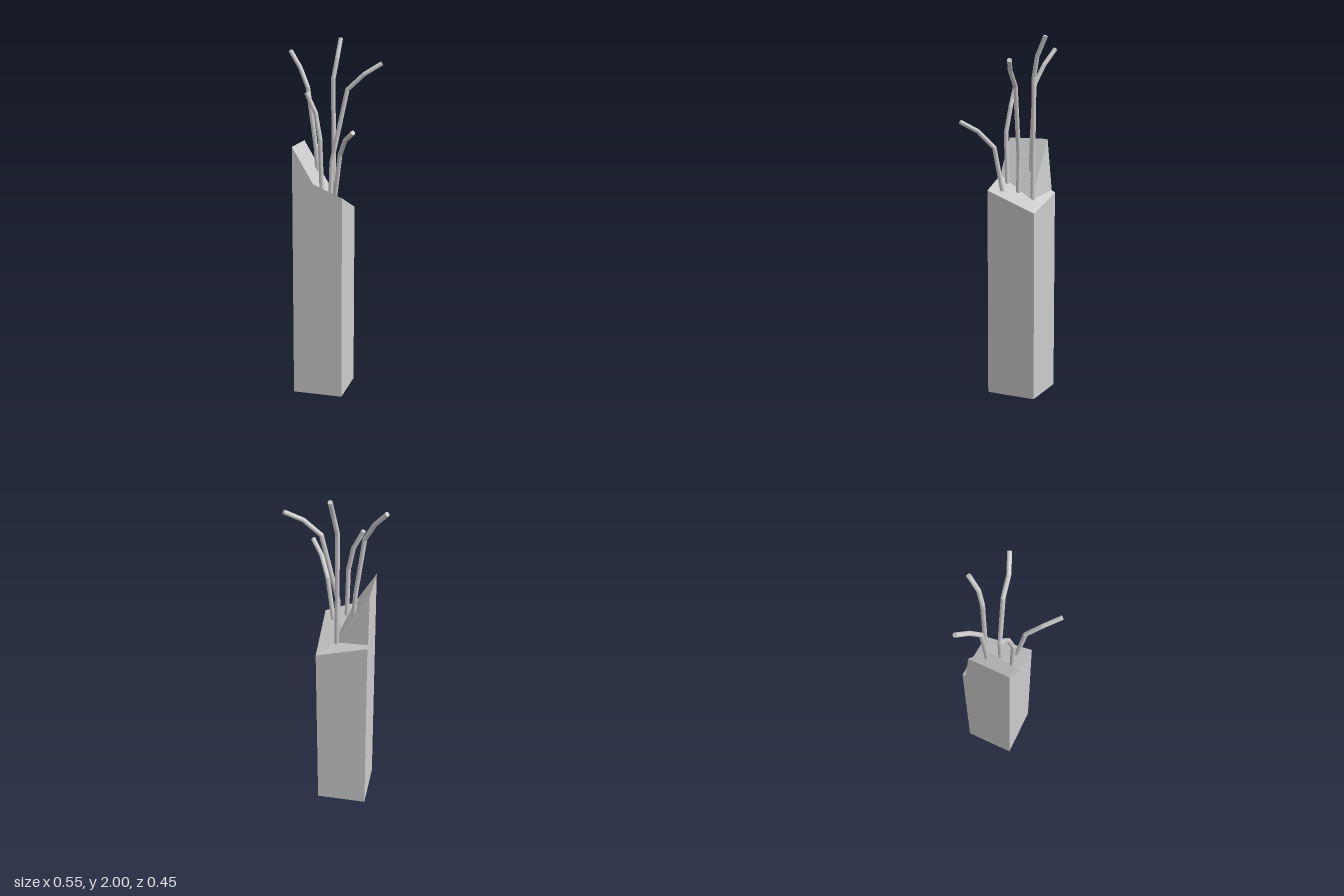
import * as THREE from 'three';

const material = new THREE.MeshStandardMaterial({ color: 0xcccccc });
const flat = new THREE.MeshStandardMaterial({ color: 0xcccccc, flatShading: true });

// Square pillar whose top is cut by slanted planes, leaving a raised wedge on one side
function createPillar() {
  const x0 = -0.183, x1 = 0.1, z0 = -0.19, z1 = 0.093;
  const c = {
    bottomFL: [x0, 0, z1], bottomFR: [x1, 0, z1], bottomBR: [x1, 0, z0], bottomBL: [x0, 0, z0],
    topFR: [x1, 1.16, z1], topBR: [x1, 1.05, z0], topBL: [x0, 1.13, z0],
    peakF: [x0, 1.43, z1], peakB: [x0, 1.43, -0.143],
    creaseF: [-0.063, 1.228, z1], creaseB: [0.01, 1.11, -0.133], wedgeFoot: [x0, 1.142, -0.17],
  };
  const faces = [
    [c.bottomBL, c.bottomBR, c.bottomFR, c.bottomFL],
    [c.bottomFL, c.bottomFR, c.topFR, c.creaseF, c.peakF],
    [c.bottomFR, c.bottomBR, c.topBR, c.topFR],
    [c.bottomBR, c.bottomBL, c.topBL, c.topBR],
    [c.bottomFL, c.peakF, c.peakB, c.wedgeFoot, c.topBL, c.bottomBL],
    [c.topBR, c.topBL, c.wedgeFoot, c.creaseB, c.creaseF, c.topFR],
    [c.peakF, c.creaseF, c.creaseB, c.peakB],
    [c.peakB, c.creaseB, c.wedgeFoot],
  ];
  // Each face is a fan around its first corner
  const positions = [];
  for (const f of faces) {
    for (let i = 1; i < f.length - 1; i++) positions.push(...f[0], ...f[i], ...f[i + 1]);
  }
  const geometry = new THREE.BufferGeometry();
  geometry.setAttribute('position', new THREE.Float32BufferAttribute(positions, 3));
  geometry.computeVertexNormals();
  const pillar = new THREE.Mesh(geometry, flat);
  pillar.name = 'pillar';
  return pillar;
}

// Bent stem: straight round rods with rounded joints at the bends
function createStem(name, path, radius = 0.0125) {
  const stem = new THREE.Group();
  stem.name = name;
  const points = path.map((p) => new THREE.Vector3(...p));
  const up = new THREE.Vector3(0, 1, 0);
  for (let i = 0; i < points.length - 1; i++) {
    const direction = points[i + 1].clone().sub(points[i]);
    const rod = new THREE.Mesh(new THREE.CylinderGeometry(radius, radius, direction.length(), 20), material);
    rod.name = 'stemRod';
    rod.position.copy(points[i]).addScaledVector(direction, 0.5);
    rod.quaternion.setFromUnitVectors(up, direction.normalize());
    stem.add(rod);
    if (i > 0) {
      const joint = new THREE.Mesh(new THREE.SphereGeometry(radius, 20, 12), material);
      joint.name = 'stemJoint';
      joint.position.copy(points[i]);
      stem.add(joint);
    }
  }
  return stem;
}

export function createModel() {
  const model = new THREE.Group();
  model.name = 'pillarWithStems';
  model.add(createPillar());

  // Stem paths run from the root in the pillar top to the tip
  const stems = {
    backStem: [[-0.006, 1.09, -0.133], [-0.012, 1.78, -0.135], [0.003, 1.89, -0.16], [0.01, 1.998, -0.212]],
    rightStem: [[-0.088, 1.24, -0.084], [-0.098, 1.4, -0.084], [-0.142, 1.735, -0.08], [-0.195, 1.84, -0.113], [-0.263, 1.928, -0.152]],
    frontRightStem: [[-0.03, 1.15, 0.034], [-0.037, 1.47, 0.045], [-0.065, 1.61, 0.031], [-0.118, 1.72, 0.029]],
    leftStem: [[-0.003, 1.14, -0.046], [0.002, 1.33, -0.052], [0.085, 1.73, -0.07], [0.175, 1.815, -0.082], [0.266, 1.873, -0.121]],
    frontLeftStem: [[0.043, 1.15, 0.028], [0.08, 1.395, 0.06], [0.127, 1.485, 0.135], [0.19, 1.54, 0.213]],
  };
  for (const [name, path] of Object.entries(stems)) model.add(createStem(name, path));
  return model;
}
